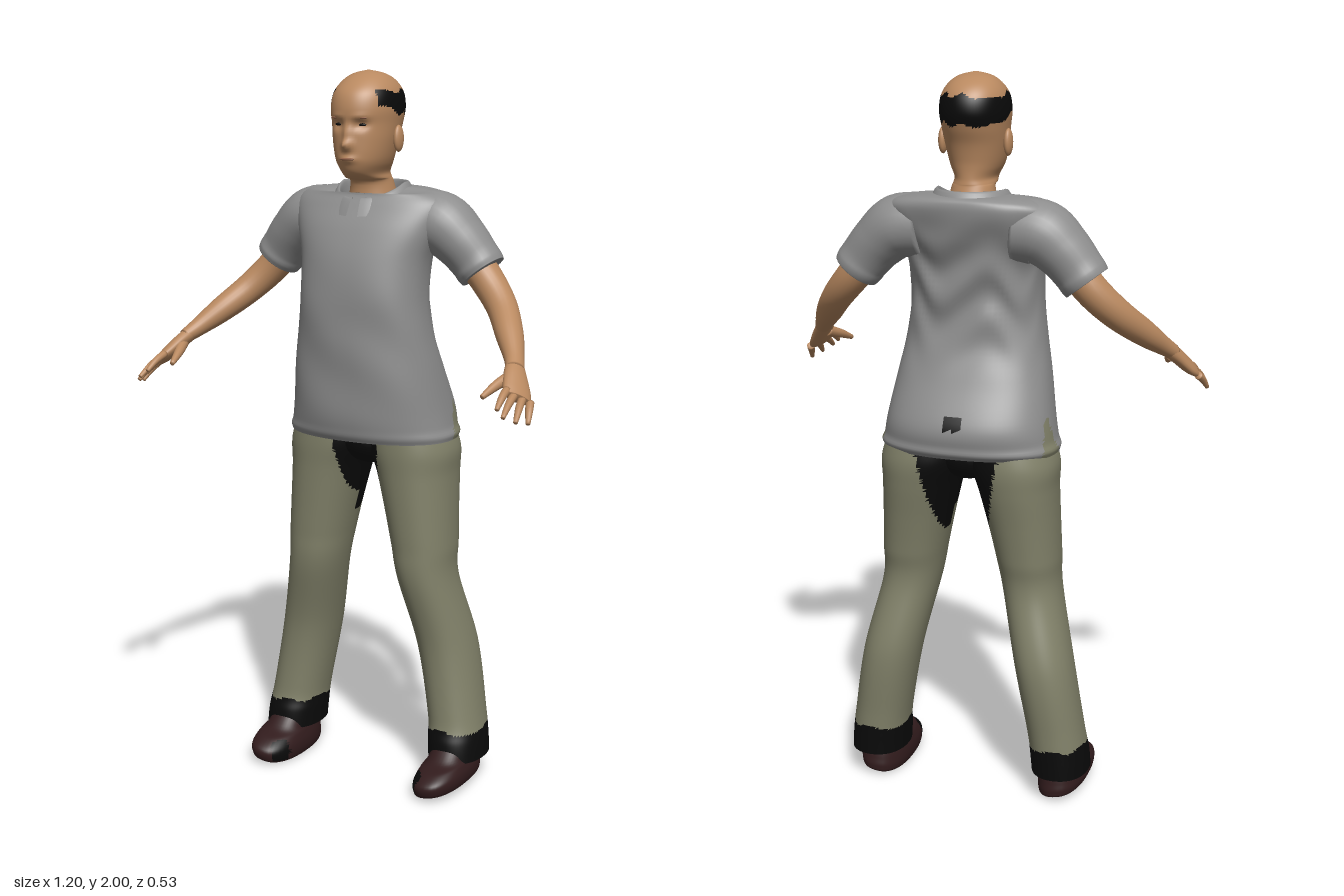
import * as THREE from 'three';

const mat = (name, color, side = THREE.FrontSide) => {
  const m = new THREE.MeshStandardMaterial({ color, side });
  m.name = name;
  return m;
};

// Smooth interpolation through a list of key rows
function key(K, t) {
  const last = K.length - 1, f = t * last, i = Math.min(Math.floor(f), last - 1), u = f - i;
  const p = K[Math.max(i - 1, 0)], q = K[i], r = K[i + 1], s = K[Math.min(i + 2, last)];
  return q.map((b, c) => {
    const m0 = (r[c] - p[c]) / 2, m1 = (s[c] - b) / 2, d = r[c] - b;
    return b + u * (m0 + u * (3 * d - 2 * m0 - m1 + u * (m0 + m1 - 2 * d)));
  });
}

// Grid of rings: point(angle, t) gives [x, y, z]
function rings(cols, rows, point, gap = 0) {
  const pos = [], idx = [], n = gap ? cols + 1 : cols;
  for (let j = 0; j <= rows; j++)
    for (let i = 0; i < n; i++)
      pos.push(...point(gap + (i / cols) * (Math.PI * 2 - 2 * gap), j / rows, j));
  for (let j = 0; j < rows; j++)
    for (let i = 0; i < cols; i++) {
      const k = (i + 1) % n, a = j * n + i, b = j * n + k, c = a + n, d = b + n;
      idx.push(a, b, d, a, d, c);
    }
  const g = new THREE.BufferGeometry();
  g.setAttribute('position', new THREE.Float32BufferAttribute(pos, 3));
  g.setIndex(idx);
  g.computeVertexNormals();
  return g;
}

// Upright form from rows [y, centreX, halfWidth, zFront, zBack]
function stack(K, cols, rows, power = 2, shape = p => p) {
  const pw = v => Math.sign(v) * Math.abs(v) ** (2 / power);
  return rings(cols, rows, (a, t) => {
    const [y, cx, rx, zf, zb] = key(K, t);
    return shape([cx + rx * pw(Math.sin(a)), y, (zf + zb) / 2 + (zf - zb) / 2 * pw(Math.cos(a))], a, t);
  });
}

// Limb along rows [x, y, z, radiusA, radiusB]; radiusA lies along ref; ends are closed
function limb(K, ref, cols = 20, rows = 24) {
  const R = new THREE.Vector3(...ref);
  return rings(cols, rows + 2, (a, _, j) => {
    const t = Math.min(Math.max((j - 1) / rows, 0), 1), k = key(K, t);
    const p = new THREE.Vector3(...key(K, Math.max(t - 0.01, 0)));
    const T = new THREE.Vector3(...key(K, Math.min(t + 0.01, 1))).sub(p).normalize();
    const N = R.clone().addScaledVector(T, -R.dot(T)).normalize(), B = T.clone().cross(N);
    const s = j === 0 || j === rows + 2 ? 0.001 : 1;
    return new THREE.Vector3(k[0], k[1], k[2])
      .addScaledVector(N, Math.cos(a) * k[3] * s).addScaledVector(B, Math.sin(a) * k[4] * s).toArray();
  });
}

// Sort faces into material groups by a rule on the face centre
function paint(g, rule, count) {
  const p = g.attributes.position, ix = g.index.array, lists = Array.from({ length: count }, () => []);
  for (let i = 0; i < ix.length; i += 3) {
    const f = [ix[i], ix[i + 1], ix[i + 2]];
    const mid = c => f.reduce((s, v) => s + p.array[v * 3 + c], 0) / 3;
    lists[rule(mid(0), mid(1), mid(2))].push(...f);
  }
  g.setIndex(lists.flat());
  let start = 0;
  lists.forEach((l, m) => { g.addGroup(start, l.length, m); start += l.length; });
  return g;
}

function mirror(g) {
  const m = g.clone().scale(-1, 1, 1), ix = m.index.array;
  for (let i = 0; i < ix.length; i += 3) [ix[i + 1], ix[i + 2]] = [ix[i + 2], ix[i + 1]];
  m.computeVertexNormals();
  return m;
}

export function createModel() {
  const root = new THREE.Group();
  root.name = 'standingPerson';
  const skin = mat('skin', 0xb98960), black = mat('black', 0x0a0a0a, THREE.DoubleSide);
  const shirt = mat('shirtGrey', 0x8e8e8e, THREE.DoubleSide), pants = mat('trouserOlive', 0x82826a, THREE.DoubleSide);
  const shoe = mat('shoeMaroon', 0x321c1d), lip = mat('lip', 0x8f6047);
  const add = (name, g, m) => {
    const o = new THREE.Mesh(g, m);
    o.name = name;
    root.add(o);
  };
  const pair = (name, g, m) => { add('left' + name, g, m); add('right' + name, mirror(g), m); };
  const bump = (x, y, cx, cy, w, h) => Math.exp(-(((x - cx) / w) ** 2) - ((y - cy) / h) ** 2);
  const blob = (x, y, z, rx, ry, rz) => new THREE.SphereGeometry(1, 20, 14).scale(rx, ry, rz).translate(x, y, z);

  // Head and neck, with a ragged band of hair
  const head = stack([
    [1.62, 0, 0.075, -0.01, -0.16], [1.7, 0, 0.058, -0.012, -0.135], [1.715, 0, 0.056, 0.025, -0.132],
    [1.73, 0, 0.055, 0.05, -0.13], [1.755, 0, 0.067, 0.063, -0.13], [1.78, 0, 0.075, 0.066, -0.133],
    [1.82, 0, 0.083, 0.066, -0.143], [1.86, 0, 0.088, 0.066, -0.16], [1.9, 0, 0.092, 0.07, -0.172],
    [1.94, 0, 0.087, 0.058, -0.165], [1.97, 0, 0.069, 0.028, -0.14], [1.99, 0, 0.042, -0.01, -0.1],
    [2, 0, 0.001, -0.05, -0.052]], 72, 80, 2.1, ([x, y, z]) => {
    if (z > 0) {
      const ax = Math.abs(x);
      z += 0.022 * bump(x, y, 0, 1.805, 0.014, 0.014) + 0.012 * bump(x, y, 0, 1.835, 0.011, 0.025)
        + 0.008 * bump(x, y, 0, 1.768, 0.022, 0.01) - 0.012 * bump(ax, y, 0.034, 1.858, 0.018, 0.013)
        + 0.004 * bump(ax, y, 0.034, 1.88, 0.025, 0.008);
    }
    return [x, y, z];
  });
  add('headAndHair', paint(head, (x, y, z) => {
    const rag = 0.007 * Math.sin(x * 95 + z * 70);
    return z < 0.025 && y > 1.868 + (z + 0.17) * 0.18 + rag && y < 1.945 + rag ? 1 : 0;
  }, 2), [skin, black]);
  pair('Ear', blob(0.09, 1.82, -0.055, 0.012, 0.036, 0.021), skin);
  pair('Eye', blob(0.034, 1.859, 0.047, 0.013, 0.004, 0.005), black);
  pair('Brow', blob(0.036, 1.877, 0.057, 0.019, 0.003, 0.004), lip);
  add('mouth', blob(0, 1.769, 0.069, 0.022, 0.004, 0.006), lip);

  // Shirt body with hem, back folds, side slits and a hole at the back
  const body = stack([
    [1, 0, 0.243, 0.068, -0.248], [1.03, 0, 0.24, 0.08, -0.262], [1.09, 0, 0.23, 0.09, -0.264],
    [1.2, 0, 0.212, 0.095, -0.21], [1.3, 0, 0.194, 0.098, -0.17], [1.4, 0, 0.183, 0.1, -0.163],
    [1.5, 0, 0.187, 0.085, -0.168], [1.58, 0, 0.213, 0.058, -0.187], [1.64, 0, 0.232, 0.025, -0.203],
    [1.67, 0, 0.212, 0.008, -0.205], [1.685, 0, 0.155, 0.008, -0.195], [1.69, 0, 0.09, 0.008, -0.165]],
  80, 72, 2.3, ([x, y, z], a, t) => {
    const back = Math.max(0, -Math.cos(a)), front = Math.max(0, Math.cos(a));
    const fold = 0.009 * back * Math.sin(y * 42 + 2 * Math.sin(a * 5)) * bump(0, y, 0, 1.44, 1, 0.15)
      + 0.003 * front * Math.sin(y * 26 + a * 4) * bump(0, y, 0, 1.25, 1, 0.2);
    const hem = 1 + 0.025 * bump(0, y, 0, 1.015, 1, 0.012);
    return [x * hem, y - 0.045 * front * Math.max(0, (t - 0.85) / 0.15), z * hem + fold];
  });
  add('shirtBody', paint(body, (x, y, z) => {
    if (Math.abs(x) > 0.18 && y < 1.1 && Math.abs(z + 0.135) < 0.035 * (1.12 - y) / 0.1) return 1;
    return z < -0.2 && Math.abs(x) < 0.028 && Math.abs(y - 1.1) < 0.022 - Math.abs(x) * 0.4 ? 2 : 0;
  }, 3), [shirt, pants, black]);

  // Folded collar, open at the front
  const fold = [[0.92, -0.025], [0.95, 0.005], [1.02, 0.012], [1.16, -0.008], [1.3, -0.035]];
  add('collar', rings(48, 12, (a, t) => {
    const [r, dy] = key(fold, t), c = Math.cos(a);
    return [0.094 * r * Math.sin(a), 1.69 + dy - 0.04 * Math.max(0, c), -0.08 + 0.096 * r * c];
  }, 0.14), shirt);

  // Sleeves
  pair('Sleeve', limb([[0.13, 1.6, -0.1, 0.085, 0.085], [0.2, 1.592, -0.1, 0.09, 0.086],
    [0.255, 1.55, -0.102, 0.08, 0.076], [0.295, 1.505, -0.105, 0.069, 0.07],
    [0.312, 1.483, -0.106, 0.07, 0.069], [0.322, 1.47, -0.106, 0.066, 0.066]], [0, 0, 1], 28, 30), shirt);

  // Arms and hands
  pair('Arm', limb([[0.25, 1.55, -0.105, 0.05, 0.05], [0.33, 1.455, -0.105, 0.047, 0.046],
    [0.395, 1.385, -0.07, 0.042, 0.042], [0.45, 1.325, 0.0, 0.038, 0.036],
    [0.49, 1.28, 0.06, 0.028, 0.026], [0.512, 1.255, 0.1, 0.026, 0.02]], [0.6, -0.4, -0.6], 22, 30), skin);
  pair('Palm', limb([[0.502, 1.265, 0.08, 0.024, 0.02], [0.52, 1.24, 0.115, 0.034, 0.02],
    [0.54, 1.21, 0.15, 0.041, 0.018], [0.552, 1.195, 0.172, 0.038, 0.013]], [0.6, -0.4, -0.6]), skin);
  const tips = [[0.533, 1.18, 0.255], [0.553, 1.163, 0.262], [0.576, 1.148, 0.236], [0.592, 1.138, 0.195]];
  tips.forEach((tip, i) => {
    const k = i / 3, base = [0.526 + 0.049 * k, 1.217 - 0.035 * k, 0.18 - 0.035 * k];
    const mid = base.map((b, c) => (b + tip[c]) / 2 + (c === 1 ? 0.005 : 0));
    pair('Finger' + (i + 1), limb([[...base, 0.011, 0.011], [...mid, 0.01, 0.01], [...tip, 0.006, 0.006]],
      [0.6, -0.4, -0.6], 10, 8), skin);
  });
  pair('Thumb', limb([[0.508, 1.24, 0.115, 0.016, 0.016], [0.489, 1.222, 0.165, 0.013, 0.013],
    [0.475, 1.2, 0.218, 0.007, 0.007]], [1, 0, 0], 12, 10), skin);

  // Trouser legs with black cuffs and black inner seat
  const leg = stack([
    [0.08, 0.27, 0.08, 0, -0.21], [0.13, 0.266, 0.08, -0.005, -0.212], [0.2, 0.257, 0.078, -0.02, -0.215],
    [0.4, 0.222, 0.08, -0.022, -0.224], [0.6, 0.177, 0.08, 0.018, -0.185], [0.7, 0.165, 0.088, 0.025, -0.195],
    [0.8, 0.152, 0.097, 0.03, -0.21], [0.9, 0.138, 0.108, 0.035, -0.228], [0.97, 0.127, 0.12, 0.04, -0.235],
    [1.04, 0.117, 0.108, 0.04, -0.225]], 56, 90, 2.2);
  pair('TrouserLeg', paint(leg, (x, y, z) => {
    if (y < 0.165 + 0.006 * Math.sin(x * 60 + z * 40)) return 1;
    const edge = z > -0.09 ? 0.05 + (y - 0.82) * 0.13 : 0.065 + (y - 0.75) * 0.2;
    return y > 0.76 && x < edge ? 1 : 0;
  }, 2), [pants, black]);
  add('seat', blob(0, 0.99, -0.095, 0.1, 0.08, 0.115), black);

  // Shoes, slightly tilted, with worn patches on toe and sole
  const shoeShape = stack([
    [0, 0.267, 0.002, -0.03, -0.035], [0, 0.267, 0.035, 0.045, -0.11], [0.002, 0.267, 0.06, 0.1, -0.175],
    [0.02, 0.267, 0.068, 0.115, -0.185], [0.045, 0.267, 0.068, 0.113, -0.182], [0.068, 0.267, 0.062, 0.08, -0.178],
    [0.085, 0.267, 0.056, 0.03, -0.172], [0.13, 0.267, 0.05, -0.02, -0.165]], 44, 42, 2.4,
  ([x, y, z]) => [x, y + Math.max(0, x - 0.2) * 0.16 * (1 - y / 0.13), z]);
  pair('Shoe', paint(shoeShape, (x, y, z) => {
    const low = y - (x - 0.2) * 0.16;
    if (low < 0.0015 && z > -0.02 && z < 0.06 && Math.sin(x * 130 + z * 60) > 0.2) return 2;
    return z > 0.05 && low > 0.01 && x < 0.235 + 0.01 * Math.sin(z * 90) ? 1 : 0;
  }, 3), [shoe, black, skin]);
  return root;
}
